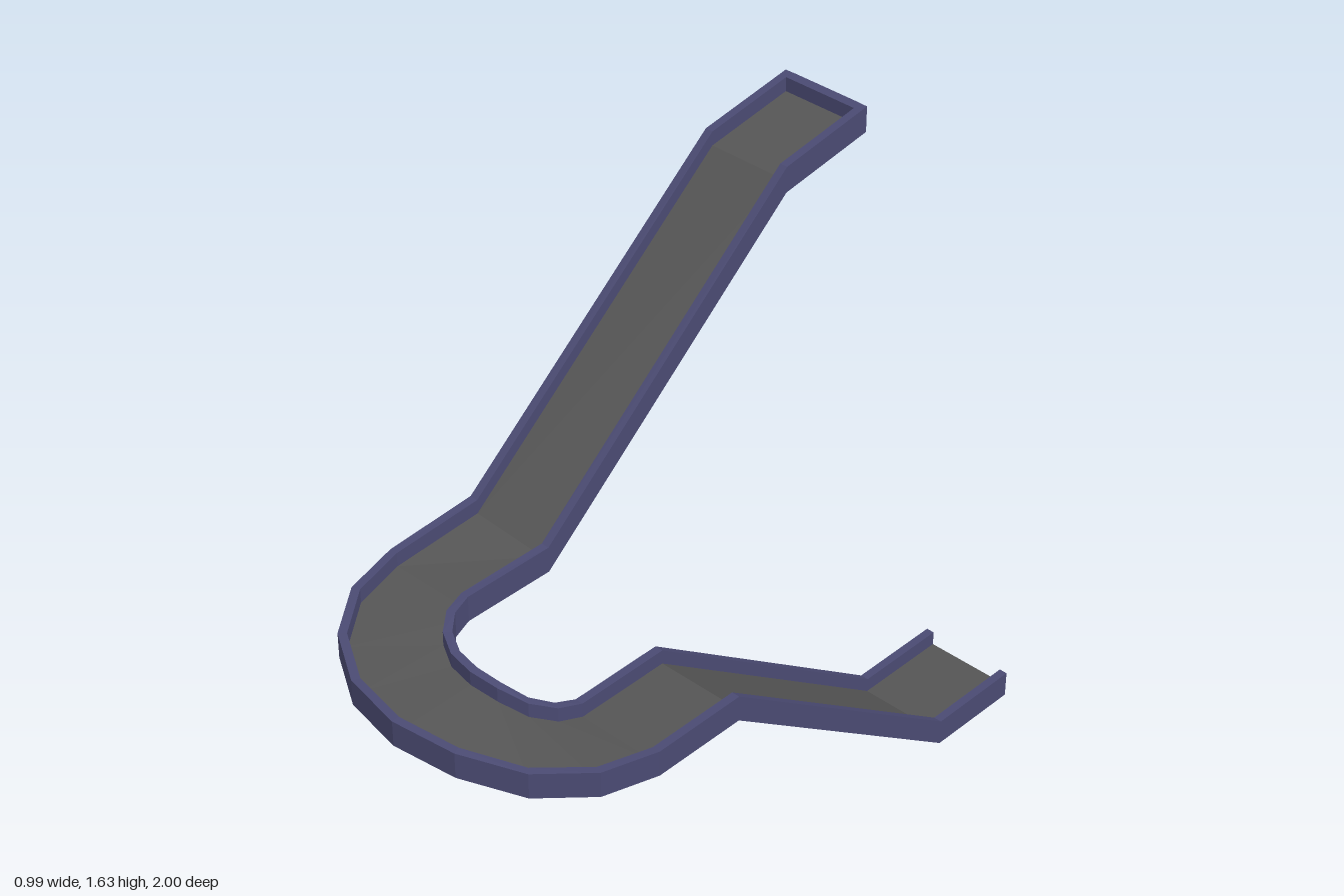
import * as THREE from 'three';

const WALL = 0.025 / 0.3;   // wall thickness as a fraction of the track width
const HEIGHT = 0.08;        // wall height
const FLOOR = 0.036;        // floor thickness

// Stations along the track: outer and inner lower edge, from the top end to the exit
function trackStations() {
  const list = [];
  const straight = (side, z, yOuter, yInner = yOuter) => list.push({
    outer: new THREE.Vector3(side * 0.493, yOuter, z),
    inner: new THREE.Vector3(side * 0.196, yInner, z),
  });
  // upper chute
  straight(-1, -1, 1.55);
  straight(-1, -0.675, 1.5);
  straight(-1, 0.25, 0.75, 0.73);
  // half-turn
  const bend = [0.733, 0.724, 0.714, 0.706, 0.702, 0.687, 0.653, 0.629, 0.612];
  bend.forEach((y, i) => {
    const a = Math.PI * i / (bend.length - 1);
    const c = -Math.cos(a), s = Math.sin(a);
    list.push({
      outer: new THREE.Vector3(c * 0.493, y, 0.546 + s * 0.452),
      inner: new THREE.Vector3(c * 0.196, y, 0.546 + s * 0.158),
    });
  });
  // lower chute and run-out
  straight(1, 0.25, 0.612);
  straight(1, -0.605, 0);
  straight(1, -0.9, 0);
  return list;
}

// Sweeps a rectangle (width fractions f0..f1, heights h0..h1) along the stations
function strip(name, stations, f0, f1, h0, h1, material) {
  const pos = [];
  const quad = (a, b, c, d) => [a, b, c, a, c, d].forEach(p => pos.push(p.x, p.y, p.z));
  const rings = stations.map(({ outer, inner }) =>
    [[f0, h0], [f1, h0], [f1, h1], [f0, h1]].map(([f, h]) => {
      const p = outer.clone().lerp(inner, f);
      p.y += h;
      return p;
    }));
  for (let i = 0; i < rings.length - 1; i++) {
    for (let k = 0; k < 4; k++) {
      const n = (k + 1) % 4;
      quad(rings[i][k], rings[i][n], rings[i + 1][n], rings[i + 1][k]);
    }
  }
  const first = rings[0], last = rings[rings.length - 1];
  quad(first[3], first[2], first[1], first[0]);
  quad(last[0], last[1], last[2], last[3]);
  const geometry = new THREE.BufferGeometry();
  geometry.setAttribute('position', new THREE.Float32BufferAttribute(pos, 3));
  geometry.computeVertexNormals();
  const mesh = new THREE.Mesh(geometry, material);
  mesh.name = name;
  return mesh;
}

export function createModel() {
  const group = new THREE.Group();
  group.name = 'slideTrack';
  const floorMat = new THREE.MeshStandardMaterial({ color: 0x555555, flatShading: true });
  const wallMat = new THREE.MeshStandardMaterial({ color: 0x4a4a72, flatShading: true });

  const stations = trackStations();
  group.add(
    strip('floor', stations, WALL, 1 - WALL, 0, FLOOR, floorMat),
    strip('outerWall', stations, 0, WALL, 0, HEIGHT, wallMat),
    strip('innerWall', stations, 1 - WALL, 1, 0, HEIGHT, wallMat),
  );

  // wall closing the top end, sitting on the first stretch of floor
  const [a, b] = stations;
  const t = 0.027 / 0.325;
  const next = { outer: a.outer.clone().lerp(b.outer, t), inner: a.inner.clone().lerp(b.inner, t) };
  const endWall = strip('endWall', [a, next], WALL, 1 - WALL, 0, HEIGHT, wallMat);
  // reach a hair beyond the floor end so the wall covers it
  endWall.position.z = -0.001;
  group.add(endWall);
  return group;
}
